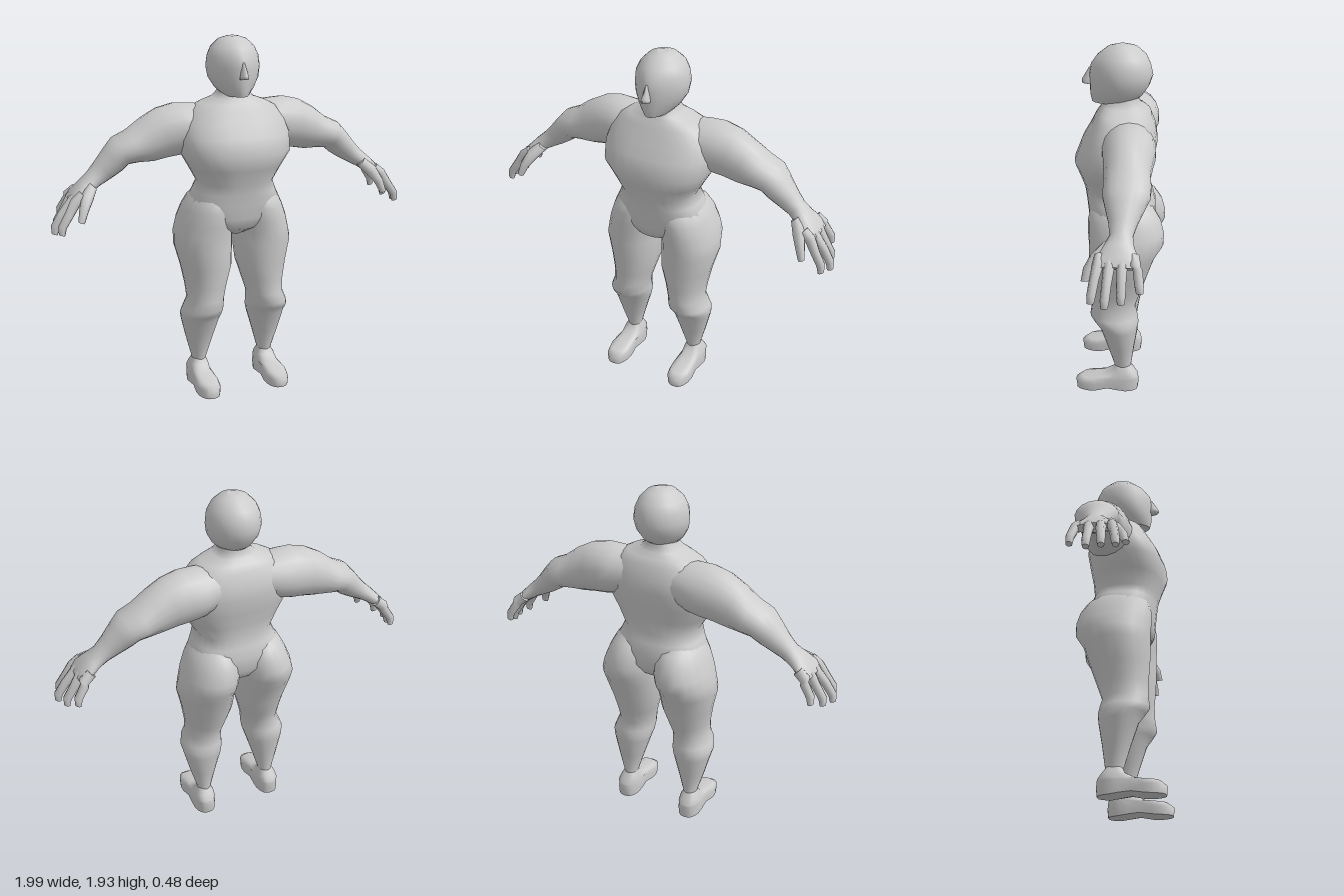
import * as THREE from 'three';

const MATERIAL = new THREE.MeshStandardMaterial({ color: 0xcccccc });
const bend = (v, e) => Math.sign(v) * Math.pow(Math.abs(v), e);

// Skin over rings [x, y, z, halfU, halfZ, tilt]; tilt turns the ring about z in degrees.
// Rings run downwards (tilt 0) or outwards (tilt 90); side -1 mirrors the part.
function loft(name, rings, { sides = 20, power = 1, side = 1, warp } = {}) {
  const pos = [], idx = [];
  const quadTri = (a, b, c) => (side > 0 ? idx.push(a, b, c) : idx.push(a, c, b));
  const addRing = ([x, y, z, hu, hz, tilt = 0]) => {
    const start = pos.length / 3, t = THREE.MathUtils.degToRad(tilt);
    for (let i = 0; i < sides; i++) {
      const a = (i / sides) * Math.PI * 2;
      const u = hu * bend(Math.cos(a), power), w = hz * bend(Math.sin(a), power);
      const p = new THREE.Vector3(x + u * Math.cos(t), y + u * Math.sin(t), z + w);
      if (warp) warp(p);
      pos.push(p.x * side, p.y, p.z);
    }
    return start;
  };
  const starts = rings.map(addRing);
  for (let r = 0; r < starts.length - 1; r++) {
    for (let i = 0; i < sides; i++) {
      const j = (i + 1) % sides, a = starts[r], b = starts[r + 1];
      quadTri(a + i, a + j, b + i);
      quadTri(a + j, b + j, b + i);
    }
  }
  // Separate cap rings keep the ends crisp
  [rings[0], rings[rings.length - 1]].forEach((ring, end) => {
    const s = addRing(ring), c = pos.length / 3;
    pos.push(ring[0] * side, ring[1], ring[2]);
    for (let i = 0; i < sides; i++) {
      const j = (i + 1) % sides;
      if (end) quadTri(c, s + i, s + j);
      else quadTri(c, s + j, s + i);
    }
  });
  const g = new THREE.BufferGeometry();
  g.setAttribute('position', new THREE.Float32BufferAttribute(pos, 3));
  g.setIndex(idx);
  g.computeVertexNormals();
  const mesh = new THREE.Mesh(g, MATERIAL);
  mesh.name = name;
  return mesh;
}

// Horizontal ring from its extents: height, x range, front and back z
const level = ([y, x0, x1, front, back]) =>
  [(x0 + x1) / 2, y, (front + back) / 2, (x1 - x0) / 2, (front - back) / 2];
const centred = ([y, half, front, back]) => level([y, -half, half, front, back]);

function makeArm(side) {
  const arm = new THREE.Group();
  arm.name = side > 0 ? 'leftArm' : 'rightArm';
  arm.add(loft('armAndPalm', [
    [0.12, 1.46, -0.05, 0.11, 0.12, 92],
    [0.22, 1.455, -0.055, 0.13, 0.14, 90],
    [0.30, 1.45, -0.06, 0.14, 0.135, 86],
    [0.38, 1.435, -0.06, 0.135, 0.125, 80],
    [0.46, 1.405, -0.06, 0.12, 0.115, 77],
    [0.54, 1.375, -0.065, 0.09, 0.118, 73],
    [0.605, 1.355, -0.065, 0.08, 0.115, 62],
    [0.645, 1.315, -0.06, 0.075, 0.095, 55],
    [0.70, 1.265, -0.055, 0.062, 0.07, 50],
    [0.75, 1.225, -0.05, 0.05, 0.056, 48],
    [0.80, 1.19, -0.04, 0.042, 0.075, 48],
    [0.85, 1.15, -0.035, 0.034, 0.105, 45],
    [0.88, 1.12, -0.035, 0.024, 0.105, 42],
  ], { sides: 18, side }));

  // Four fingers: knuckle z, tip x, tip y, tip z
  [[-0.115, 0.92, 1.025, -0.145], [-0.06, 0.955, 0.985, -0.06],
    [-0.005, 0.98, 0.975, 0.015], [0.045, 0.955, 0.985, 0.08]].forEach(([kz, tx, ty, tz]) => {
    arm.add(loft('finger', [
      [0.83, 1.165, kz, 0.03, 0.025, 48],
      [0.875, 1.13, kz * 0.8 + tz * 0.2, 0.03, 0.027, 42],
      [tx - 0.045, ty + 0.09, kz * 0.4 + tz * 0.6, 0.025, 0.023, 32],
      [tx - 0.005, ty + 0.03, kz * 0.1 + tz * 0.9, 0.023, 0.022, 22],
      [tx, ty - 0.01, tz, 0.017, 0.017, 18],
    ], { sides: 8, side }));
  });
  arm.add(loft('thumb', [
    [0.77, 1.2, 0, 0.03, 0.035, 45],
    [0.81, 1.155, 0.055, 0.034, 0.034, 35],
    [0.84, 1.10, 0.095, 0.026, 0.027, 25],
    [0.86, 1.04, 0.115, 0.018, 0.018, 20],
  ], { sides: 8, side }));
  return arm;
}

function makeLeg(side) {
  const leg = new THREE.Group();
  leg.name = side > 0 ? 'leftLeg' : 'rightLeg';
  leg.add(loft('thighAndCalf', [
    [1.13, 0.05, 0.20, 0.10, -0.12],
    [1.08, 0.01, 0.25, 0.15, -0.185],
    [1.02, 0.0, 0.28, 0.165, -0.222],
    [0.95, 0.0, 0.307, 0.165, -0.24],
    [0.89, 0.008, 0.322, 0.16, -0.238],
    [0.82, 0.012, 0.33, 0.16, -0.195],
    [0.70, 0.02, 0.30, 0.155, -0.155],
    [0.60, 0.05, 0.282, 0.145, -0.12],
    [0.52, 0.072, 0.275, 0.147, -0.092],
    [0.465, 0.075, 0.298, 0.155, -0.105],
    [0.43, 0.075, 0.31, 0.13, -0.11],
    [0.39, 0.085, 0.302, 0.10, -0.108],
    [0.27, 0.122, 0.272, 0.06, -0.088],
    [0.14, 0.16, 0.235, 0.02, -0.07],
    [0.07, 0.15, 0.245, 0.03, -0.09],
  ].map(level), { side }));
  // Foot with a narrow instep and a raised arch
  leg.add(loft('foot', [
    [0.15, 0.165, 0.232, 0.015, -0.065],
    [0.115, 0.148, 0.252, 0.035, -0.09],
    [0.085, 0.14, 0.265, 0.10, -0.11],
    [0.072, 0.137, 0.268, 0.205, -0.112],
    [0.045, 0.132, 0.272, 0.24, -0.115],
    [0, 0.135, 0.27, 0.235, -0.11],
  ].map(level), {
    side, power: 0.75, sides: 24,
    warp: (p) => {
      const waist = Math.exp(-(((p.z - 0.05) / 0.06) ** 2));
      if (p.y < 0.09) p.x = 0.2 + (p.x - 0.2) * (1 - 0.18 * waist);
      if (p.y < 0.01) p.y += 0.015 * waist;
    },
  }));
  return leg;
}

export function createModel() {
  const model = new THREE.Group();
  model.name = 'figure';

  // Neck, chest, waist and pelvis
  model.add(loft('torso', [
    [1.70, 0.075, 0.07, -0.09],
    [1.645, 0.08, 0.08, -0.095],
    [1.615, 0.11, 0.095, -0.11],
    [1.59, 0.18, 0.11, -0.135],
    [1.56, 0.235, 0.13, -0.16],
    [1.49, 0.285, 0.165, -0.185],
    [1.42, 0.305, 0.205, -0.195],
    [1.33, 0.297, 0.24, -0.18],
    [1.25, 0.25, 0.212, -0.165],
    [1.17, 0.205, 0.188, -0.158],
    [1.12, 0.225, 0.18, -0.175],
    [1.06, 0.255, 0.172, -0.19],
    [0.98, 0.25, 0.165, -0.19],
    [0.92, 0.12, 0.15, -0.15],
    [0.87, 0.025, 0.06, -0.08],
  ].map(centred), { power: 0.82, sides: 28 }));

  // Egg-shaped head, narrowing towards the face
  model.add(loft('head', [
    [1.93, 0.03, 0.02, -0.04],
    [1.915, 0.075, 0.07, -0.09],
    [1.875, 0.115, 0.12, -0.135],
    [1.83, 0.136, 0.152, -0.155],
    [1.775, 0.142, 0.162, -0.167],
    [1.72, 0.134, 0.158, -0.148],
    [1.67, 0.105, 0.157, -0.115],
    [1.63, 0.066, 0.148, -0.06],
  ].map(centred), {
    sides: 24,
    warp: (p) => { p.x *= 1 - 0.3 * Math.max(0, p.z / 0.16) ** 2; },
  }));
  model.add(loft('nose', [
    [1.81, 0.006, 0.162, 0.13],
    [1.745, 0.022, 0.2, 0.13],
    [1.727, 0.026, 0.2, 0.13],
    [1.722, 0.02, 0.165, 0.13],
  ].map(centred), { sides: 8, power: 1.2 }));

  for (const side of [1, -1]) model.add(makeArm(side), makeLeg(side));
  return model;
}
